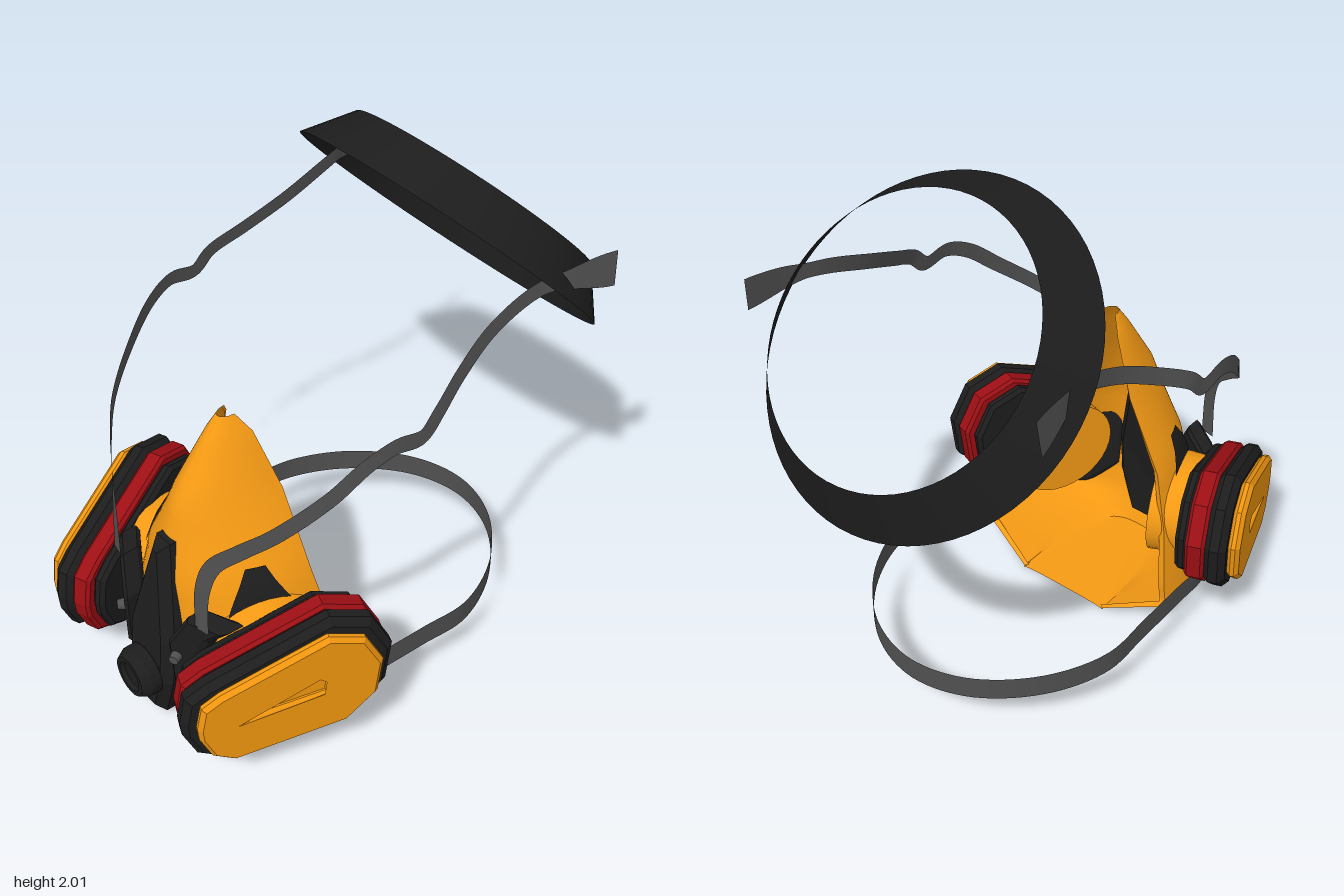
import * as THREE from 'three';
import { toCreasedNormals } from 'three/addons/utils/BufferGeometryUtils.js';

const mat = (color, flatShading = false) =>
  new THREE.MeshStandardMaterial({ color, flatShading, side: THREE.DoubleSide });
const V = (x, y, z) => new THREE.Vector3(x, y, z);

// Grid surface from a rule (u, v in 0..1)
function grid(nu, nv, rule) {
  const g = new THREE.PlaneGeometry(1, 1, nu, nv);
  const p = g.attributes.position, uv = g.attributes.uv;
  for (let i = 0; i < p.count; i++) p.setXYZ(i, ...rule(uv.getX(i), 1 - uv.getY(i)));
  g.computeVertexNormals();
  return g;
}

// Move every vertex by a rule
function bend(g, rule) {
  const p = g.attributes.position;
  for (let i = 0; i < p.count; i++) p.setXYZ(i, ...rule(p.getX(i), p.getY(i), p.getZ(i)));
  g.computeVertexNormals();
  return g;
}

// Mirrored copy in x with the winding restored
function mirrored(geo) {
  const g = geo.index ? geo.toNonIndexed() : geo.clone();
  g.scale(-1, 1, 1);
  for (const a of Object.values(g.attributes)) {
    const s = a.itemSize;
    for (let i = 0; i < a.count; i += 3)
      for (let k = 0; k < s; k++) {
        const q = a.array[(i + 1) * s + k];
        a.array[(i + 1) * s + k] = a.array[(i + 2) * s + k];
        a.array[(i + 2) * s + k] = q;
      }
  }
  return g;
}

// Flat ribbon along a curve; normal(t) is the direction it faces
function ribbon(points, n, normal, width) {
  const c = new THREE.CatmullRomCurve3(points);
  return grid(1, n, (u, v) => {
    const side = c.getTangent(v).cross(normal(v)).normalize();
    return c.getPoint(v).addScaledVector(side, (u - 0.5) * width(v)).toArray();
  });
}

function extrude(pts, depth, bevel, hole) {
  const s = new THREE.Shape(pts);
  if (hole) s.holes.push(new THREE.Path(hole));
  return new THREE.ExtrudeGeometry(s, {
    depth: depth - 2 * bevel, bevelEnabled: bevel > 0, bevelSize: bevel,
    bevelThickness: bevel, bevelOffset: -bevel, bevelSegments: 1,
  }).translate(0, 0, bevel);
}

// Face shell levels: y, rim half width, rim z, front z, roundness
const levels = [
  [1.205, 0.03, 0.46, 0.51, 1], [1.14, 0.075, 0.42, 0.56, 1.05], [0.93, 0.175, 0.375, 0.70, 1.1],
  [0.65, 0.32, 0.37, 0.785, 1], [0.42, 0.39, 0.335, 0.80, 0.85], [0.22, 0.44, 0.28, 0.79, 0.8],
  [0.13, 0.46, 0.27, 0.77, 0.8], [0.01, 0.2, 0.21, 0.72, 0.7], [0, 0.2, 0.21, 0.22, 0.7],
];
function shellPoint(t, row, grow = 1) {
  const i = Math.min(Math.floor(row), levels.length - 2);
  const [y, xr, zr, zf, p] = levels[i].map((a, k) => a + (levels[i + 1][k] - a) * (row - i));
  const a = t * Math.PI / 2;
  return [
    grow * xr * Math.sign(t) * Math.abs(Math.sin(a)) ** p, y,
    zr + grow * (zf - zr) * Math.max(0, Math.cos(a)) ** p,
  ];
}

export function createModel() {
  const root = new THREE.Group();
  const orange = mat(0xf59a14), cap = mat(0xf0960f, true), black = mat(0x1d1d1d, true);
  const bandMat = mat(0x1d1d1d), red = mat(0x9c0f14, true), strap = mat(0x505050);
  const add = (name, geo, m) => {
    const mesh = new THREE.Mesh(geo, m);
    mesh.name = name;
    root.add(mesh);
  };
  const pair = (name, geo, m) => {
    add(name + 'Left', geo, m);
    add(name + 'Right', mirrored(geo), m);
  };

  // Conical head band, tilted back
  const band = new THREE.CylinderGeometry(0.495, 0.622, 0.17, 72, 1, true);
  add('headBand', band.rotateX(-Math.PI / 4).translate(0, 1.595, -0.575), bandMat);

  // Face shell, open at the back, with a turned-in rim
  const shell = grid(40, 32, (u, v) => shellPoint(u * 2 - 1, v * 8));
  add('faceShell', toCreasedNormals(shell, 0.7), orange);
  pair('shellRim', grid(1, 28, (u, v) => {
    const [x, y, z] = shellPoint(1, v * 7);
    return [x * (1 - 0.08 * u), y, z + 0.012 * u];
  }), orange);

  // Dark pad on the shell flank behind each filter
  pair('sidePad', grid(8, 12, (u, v) => {
    const w = 0.08 + 0.22 * Math.sin(Math.PI * v);
    return shellPoint(0.68 + (u - 0.5) * w * 1.5, 2.75 + v * 2.3, 1.025);
  }), black);

  // Centre valve housing
  const half = [[0.04, 0.79], [0.125, 0.41], [0.125, 0.22], [0.065, 0.03]];
  const outline = [...half, ...half.map(([x, y]) => [-x, y]).reverse()]
    .map(([x, y]) => new THREE.Vector2(x, y));
  const housing = extrude(outline, 0.15, 0.035);
  add('valveHousing', bend(housing, (x, y, z) =>
    [x, y, z + 0.735 - Math.max(0, y - 0.3) * 0.18]), black);
  const valve = [[0, 0.06], [0.05, 0.06], [0.06, 0.075], [0.08, 0.075], [0.1, 0.04], [0.1, 0]]
    .reverse().map(([r, h]) => new THREE.Vector2(r, h));
  add('valveCap', new THREE.LatheGeometry(valve, 24).rotateX(Math.PI / 2).translate(0, 0.23, 0.88), black);

  // C-shaped yoke around each filter port
  const yoke = [[0.2, 0.6], [0.33, 0.57], [0.26, 0.5], [0.235, 0.42], [0.24, 0.33], [0.29, 0.23],
    [0.37, 0.15], [0.35, 0.08], [0.26, 0.11], [0.14, 0.23], [0.13, 0.46]]
    .map(([x, y]) => new THREE.Vector2(x, y));
  pair('yoke', bend(extrude(yoke, 0.09, 0.015), (x, y, z) =>
    [x, y, z + 0.78 - (x - 0.13) * 0.6]), black);
  const bolt = new THREE.CylinderGeometry(0.018, 0.022, 0.03, 16).rotateX(Math.PI / 2);
  pair('bolt', bolt.rotateY(0.5).translate(0.17, 0.405, 0.86), strap);

  // Filters: layers stacked outward along a tilted axis
  const tilt = 69 * Math.PI / 180;
  const filterOutline = [[0.99, 0.36], [0.97, 0.47], [0.9, 0.52], [0.49, 0.7], [0.35, 0.65], [0.28, 0.505],
    [0.3, 0.335], [0.42, 0.21], [0.86, 0.14], [0.94, 0.19], [0.985, 0.3]];
  const local = ([z, y]) => new THREE.Vector2((0.25 - z) / 0.934, y);
  const scaled = (s) => filterOutline.map(([z, y]) =>
    local([0.64 + (z - 0.64) * s, 0.42 + (y - 0.42) * s]));
  const slot = [[0.835, 0.345], [0.54, 0.5], [0.505, 0.47], [0.515, 0.39]].map(local);
  const layers = [
    ['filterBase', 0.9, 0.545, 0.05, 0.015, black],
    ['filterSeal', 0.98, 0.59, 0.075, 0.012, red],
    ['filterRim', 1, 0.66, 0.085, 0.025, black],
    ['filterCap', 0.87, 0.742, 0.048, 0.016, cap, slot],
    ['filterSlotFloor', 0.8, 0.742, 0.012, 0, cap],
  ];
  for (const [name, s, w, depth, bevel, m, hole] of layers)
    pair(name, extrude(scaled(s), depth, bevel, hole).translate(0, 0, w).rotateY(tilt), m);

  // Port joining the filter to the shell
  const port = new THREE.CylinderGeometry(0.19, 0.2, 0.15, 32).rotateX(Math.PI / 2);
  pair('filterPort', port.scale(1.1, 1, 1).translate(-0.4, 0.41, 0.485).rotateY(tilt), orange);

  // Upper straps from yoke to head band, with a flared tail
  const upper = [V(0.26, 0.57, 0.8), V(0.265, 0.76, 0.79), V(0.3, 0.88, 0.765), V(0.38, 0.97, 0.71),
    V(0.47, 1.06, 0.63), V(0.56, 1.19, 0.48), V(0.6, 1.29, 0.36), V(0.62, 1.33, 0.26),
    V(0.625, 1.32, 0.15), V(0.62, 1.38, 0.08), V(0.58, 1.45, -0.05), V(0.545, 1.53, -0.22),
    V(0.55, 1.6, -0.42), V(0.585, 1.61, -0.55), V(0.62, 1.6, -0.71)];
  pair('upperStrap', ribbon(upper, 90,
    (t) => V(0.2, 0, 1).lerp(V(1, 0.1, 0), Math.min(1, t * 1.8)),
    (t) => 0.06 + 0.07 * THREE.MathUtils.smoothstep(t, 0.88, 1)), strap);

  // Neck strap: one loop behind, ending under the yokes
  const side = [V(0.28, 0.05, 0.77), V(0.42, 0.12, 0.62), V(0.5, 0.2, 0.45), V(0.53, 0.25, 0.25),
    V(0.535, 0.25, 0.02), V(0.53, 0.24, -0.2), V(0.42, 0.237, -0.43), V(0.22, 0.237, -0.61)];
  const loop = [...side, V(0, 0.237, -0.67), ...side.map((p) => V(-p.x, p.y, p.z)).reverse()];
  const curve = new THREE.CatmullRomCurve3(loop);
  add('neckStrap', ribbon(loop, 120,
    (t) => { const d = curve.getTangent(t); return V(d.z, 0, -d.x); },
    (t) => 0.05 + 0.045 * Math.min(1, 5 * Math.min(t, 1 - t))), strap);

  return root;
}
